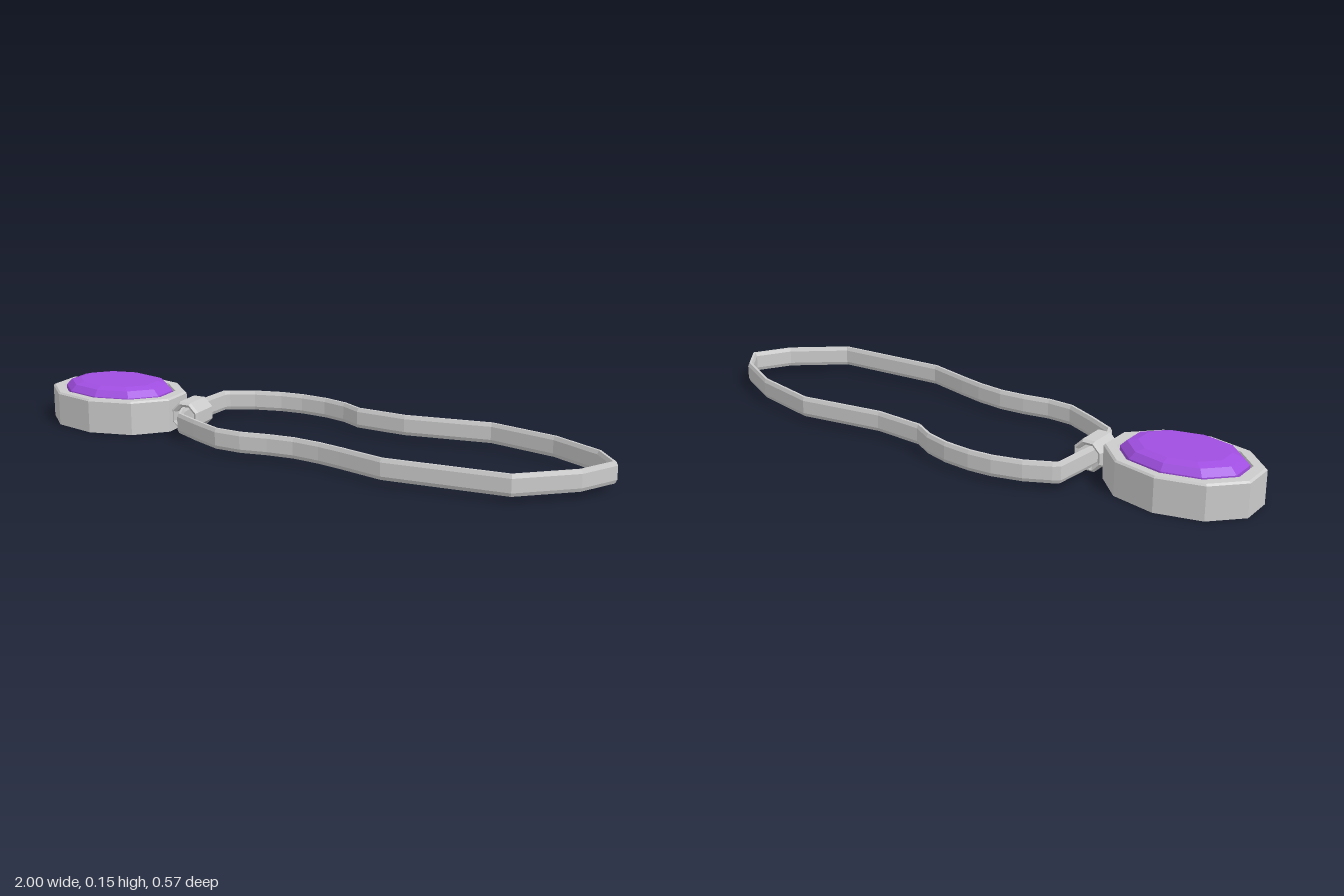
import * as THREE from 'three';

const grey = new THREE.MeshStandardMaterial({ color: 0xcccccc, flatShading: true });
const purple = new THREE.MeshStandardMaterial({ color: 0xa04ee0, flatShading: true });

function lathe(name, profile, sides, material) {
  const geometry = new THREE.LatheGeometry(profile.map(([r, y]) => new THREE.Vector2(r, y)), sides);
  const mesh = new THREE.Mesh(geometry, material);
  mesh.name = name;
  return mesh;
}

// Closed band: sweeps an upright section around a loop of [x, z] points with mitred corners
function bandGeometry(path, section, y) {
  const n = path.length, m = section.length, positions = [], index = [];
  const at = (i) => new THREE.Vector2(...path[(i + n) % n]);
  for (let i = 0; i < n; i++) {
    const a = at(i).sub(at(i - 1)).normalize();
    const b = at(i + 1).sub(at(i)).normalize();
    const t = a.clone().add(b).normalize();
    const miter = 1 / Math.max(0.6, t.dot(a));
    for (const [w, h] of section) {
      positions.push(path[i][0] + t.y * w * miter, y + h, path[i][1] - t.x * w * miter);
    }
    for (let j = 0; j < m; j++) {
      const p = i * m + j, q = i * m + (j + 1) % m;
      const r = ((i + 1) % n) * m + j, s = ((i + 1) % n) * m + (j + 1) % m;
      index.push(p, q, r, q, s, r);
    }
  }
  const g = new THREE.BufferGeometry();
  g.setAttribute('position', new THREE.Float32BufferAttribute(positions, 3));
  g.setIndex(index);
  g.computeVertexNormals();
  return g;
}

export function createModel() {
  const model = new THREE.Group();

  // Ten-sided oval pendant: setting with a recessed seat, and the faceted stone
  const pendant = new THREE.Group();
  pendant.name = 'pendant';
  pendant.position.set(-0.76, 0, 0.004);
  pendant.scale.x = 1.365;
  pendant.add(lathe('setting', [
    [0, 0], [0.185, 0], [0.185, 0.109], [0.18, 0.115], [0.154, 0.115], [0.15, 0.1], [0, 0.1],
  ], 10, grey));
  pendant.add(lathe('gemstone', [
    [0.147, 0.1], [0.147, 0.116], [0.131, 0.137], [0.106, 0.146], [0, 0.147],
  ], 10, purple));
  model.add(pendant);

  // Eight-sided ring joining the pendant to the cord, its axis along z
  const bail = lathe('bail', [
    [0.037, -0.048], [0.047, -0.054], [0.055, -0.046], [0.055, 0.046],
    [0.047, 0.054], [0.037, 0.048], [0.037, -0.048],
  ], 8, grey);
  bail.rotation.set(Math.PI / 2, Math.PI / 8, 0);
  bail.position.set(-0.462, 0.057, 0.004);
  model.add(bail);

  // Flat cord laid out in a loose loop
  const path = [
    [-0.475, 0], [-0.457, -0.2], [-0.44, -0.213], [-0.36, -0.252], [-0.265, -0.276], [-0.185, -0.281],
    [-0.09, -0.272], [-0.005, -0.247], [0.065, -0.206], [0.24, -0.192], [0.528, -0.234],
    [0.755, -0.179], [0.92, -0.09], [0.988, 0], [0.92, 0.117], [0.755, 0.25], [0.36, 0.275],
    [0.21, 0.235], [0.125, 0.215], [0.03, 0.203], [-0.06, 0.209], [-0.15, 0.224],
    [-0.24, 0.219], [-0.35, 0.168], [-0.44, 0.12], [-0.465, 0.065],
  ];
  const section = [
    [0.009, -0.022], [0.009, 0.022], [0.004, 0.034], [-0.004, 0.034],
    [-0.009, 0.022], [-0.009, -0.022], [-0.004, -0.034], [0.004, -0.034],
  ];
  const cord = new THREE.Mesh(bandGeometry(path, section, 0.056), grey);
  cord.name = 'cord';
  model.add(cord);

  return model;
}
